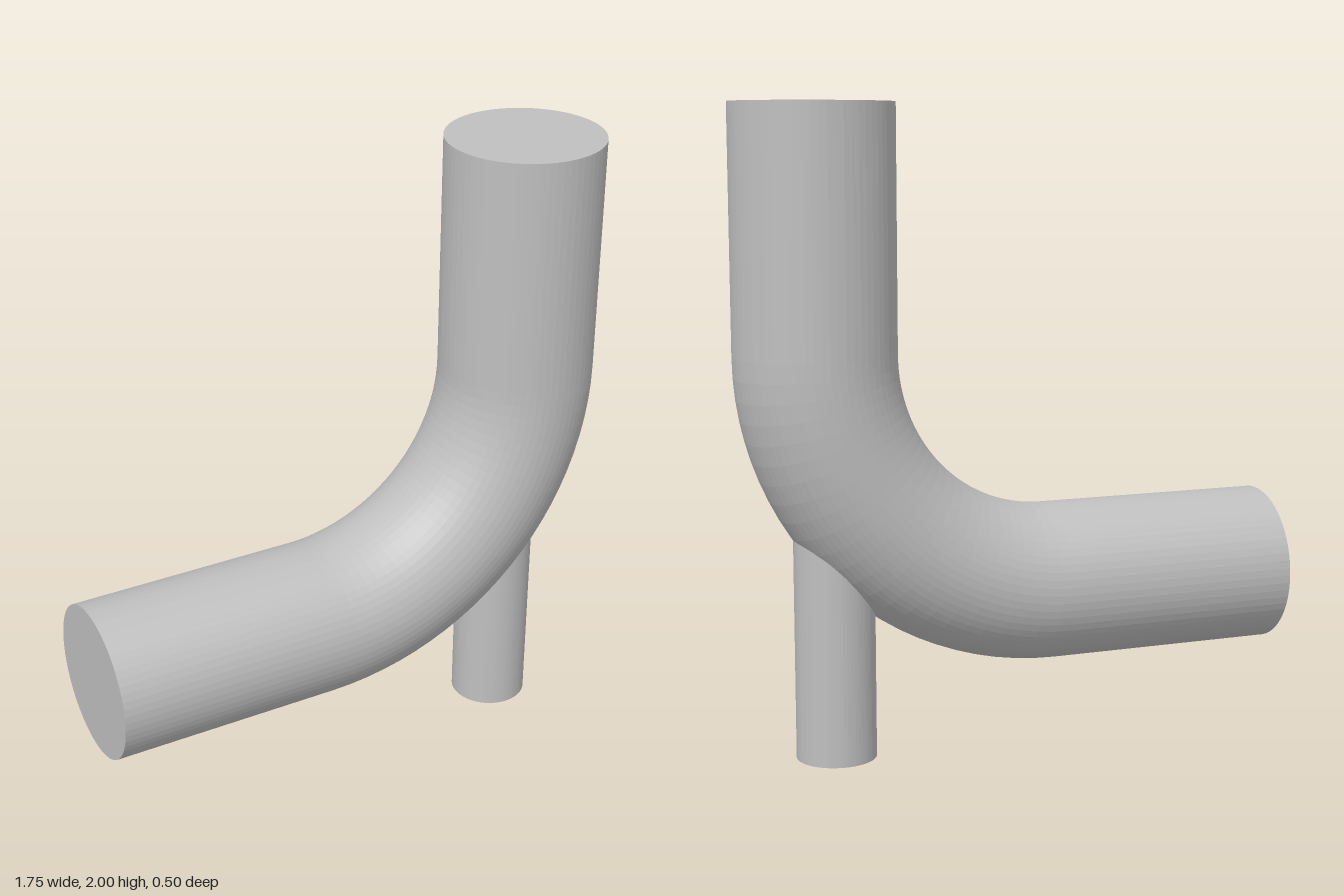
import * as THREE from 'three';

const SIDES = 64;
const R = 0.248;            // pipe radius
const BEND = 0.75;          // bend radius along the pipe's centre line
const CX = -0.125, CY = 1.25; // centre of the bend
const LEFT = -0.875, TOP = 2;
const LEG_R = 0.124, LEG_X = 0.574;

export function createModel() {
  const model = new THREE.Group();
  model.name = 'pipeElbowSupport';
  const grey = new THREE.MeshStandardMaterial({ color: 0xbfbfbf, flatShading: true });
  grey.name = 'grey';

  const add = (name, geometry, x, y, parent = model) => {
    const mesh = new THREE.Mesh(geometry, grey);
    mesh.name = name;
    mesh.position.set(x, y, 0);
    parent.add(mesh);
    return mesh;
  };
  const tube = (length) => new THREE.CylinderGeometry(R, R, length, SIDES, 1, true);
  const disc = (radius) => new THREE.CircleGeometry(radius, SIDES);

  // Elbow pipe: horizontal run, quarter bend, vertical run, closed ends
  const pipe = new THREE.Group();
  pipe.name = 'elbowPipe';
  model.add(pipe);
  const runX = CX - LEFT, runY = TOP - CY;
  add('horizontalRun', tube(runX).rotateZ(Math.PI / 2), LEFT + runX / 2, CY - BEND, pipe);
  add('bend', new THREE.TorusGeometry(BEND, R, SIDES, 24, Math.PI / 2).rotateZ(-Math.PI / 2), CX, CY, pipe);
  add('verticalRun', tube(runY), CX + BEND, CY + runY / 2, pipe);
  add('horizontalEnd', disc(R).rotateY(-Math.PI / 2), LEFT, CY - BEND, pipe);
  add('verticalEnd', disc(R).rotateX(-Math.PI / 2), CX + BEND, TOP, pipe);

  // Support leg: its upper rim is cut to follow the underside of the bend
  const leg = new THREE.CylinderGeometry(LEG_R, LEG_R, 1, SIDES, 1, true).translate(0, 0.5, 0);
  const p = leg.attributes.position;
  for (let i = 0; i < p.count; i++) {
    if (p.getY(i) < 0.5) continue;
    const dx = LEG_X + p.getX(i) - CX;
    const outer = BEND + Math.sqrt(R * R - p.getZ(i) ** 2);
    p.setY(i, CY - Math.sqrt(outer * outer - dx * dx) + 0.01);
  }
  leg.computeVertexNormals();
  add('supportLeg', leg, LEG_X, 0);
  add('legFoot', disc(LEG_R).rotateX(Math.PI / 2), LEG_X, 0);

  return model;
}
